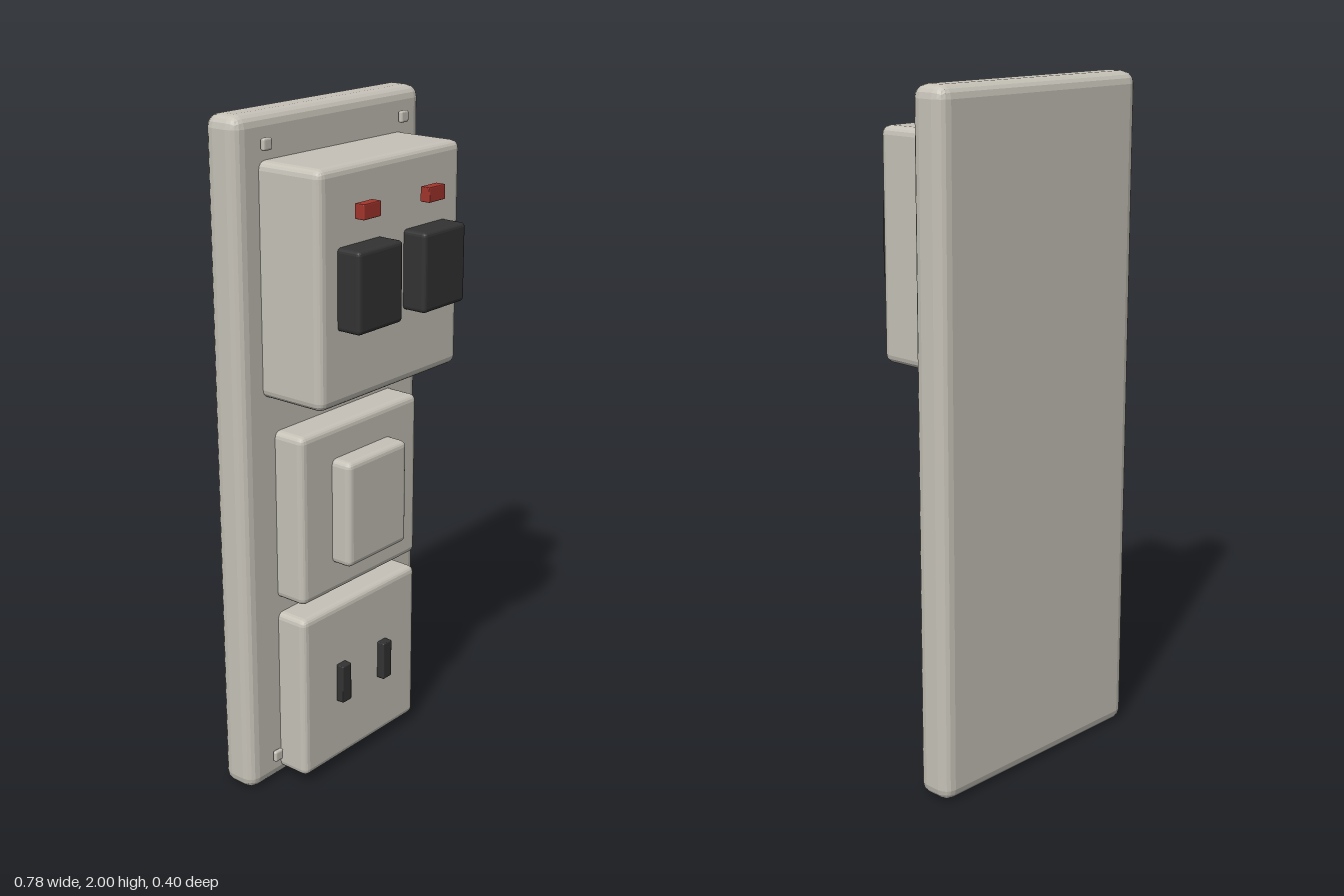
import * as THREE from 'three';
import { RoundedBoxGeometry } from 'three/addons/geometries/RoundedBoxGeometry.js';

export function createModel() {
  const group = new THREE.Group();
  group.name = 'wallSwitchPanel';

  const material = (name, color) => {
    const m = new THREE.MeshStandardMaterial({ color });
    m.name = name;
    m.flatShading = true;
    return m;
  };
  const beige = material('warmGreyPlastic', 0xc6c2b8);
  const black = material('blackPlastic', 0x333333);
  const red = material('redLamp', 0xa3352c);

  // Bevelled block given by its extents on each axis
  const block = (name, mat, [x0, x1], [y0, y1], [z0, z1], bevel) => {
    const geometry = new RoundedBoxGeometry(x1 - x0, y1 - y0, z1 - z0, 2, bevel);
    const mesh = new THREE.Mesh(geometry, mat);
    mesh.name = name;
    mesh.position.set((x0 + x1) / 2, (y0 + y1) / 2, (z0 + z1) / 2);
    group.add(mesh);
  };

  // Back plate
  block('backPlate', beige, [-0.39, 0.39], [0, 2], [-0.203, -0.085], 0.036);

  // Deep upper housing, and the two shallow plates below it
  block('upperHousing', beige, [-0.304, 0.304], [1.22, 1.875], [-0.12, 0.125], 0.024);
  block('middlePlate', beige, [-0.26, 0.26], [0.595, 1.11], [-0.11, 0.015], 0.02);
  block('lowerPlate', beige, [-0.26, 0.26], [0.03, 0.547], [-0.11, 0.015], 0.02);
  block('middleButton', beige, [-0.132, 0.132], [0.69, 1.013], [-0.01, 0.08], 0.018);

  for (const side of [-1, 1]) {
    const label = side > 0 ? 'left' : 'right';
    const span = (centre, half) => [side * centre - half, side * centre + half];

    // Rocker switches with their lamps
    block(label + 'Rocker', black, span(0.14, 0.093), [1.435, 1.662], [0.11, 0.2], 0.012);
    block(label + 'Lamp', red, span(0.14, 0.036), [1.732, 1.774], [0.136, 0.168], 0.003);

    // Socket contacts
    block(label + 'Contact', black, span(0.096, 0.02), [0.23, 0.352], [0, 0.04], 0.004);

    // Corner screws
    for (const [end, y] of [['Top', 1.92], ['Bottom', 0.09]]) {
      block(label + end + 'Screw', beige, span(0.288, 0.017), [y - 0.017, y + 0.017], [-0.078, -0.063], 0.006);
    }
  }

  return group;
}
